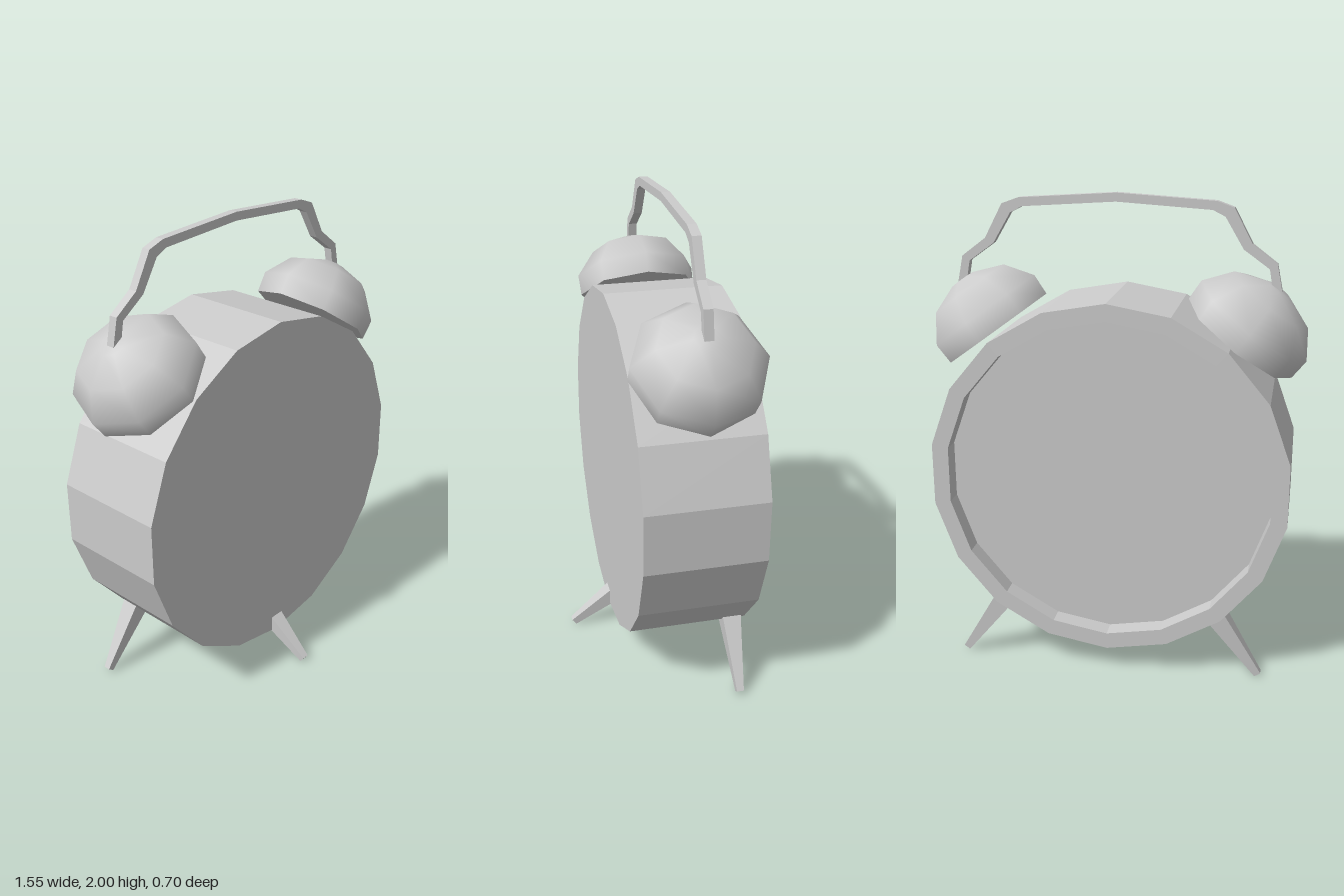
import * as THREE from 'three';

const flat = new THREE.MeshStandardMaterial({ color: 0xcccccc, flatShading: true });
const smooth = new THREE.MeshStandardMaterial({ color: 0xcccccc });
const V2 = ([x, y]) => new THREE.Vector2(x, y);
const BELL_Z = -0.085;

function add(parent, name, geometry, material = flat) {
  const mesh = new THREE.Mesh(geometry, material);
  mesh.name = name;
  parent.add(mesh);
  return mesh;
}

// Square tapered leg from its wide top to its narrow tip
function addLeg(parent, name, top, tip) {
  const dir = new THREE.Vector3().subVectors(tip, top);
  const geometry = new THREE.CylinderGeometry(0.08 * Math.SQRT1_2, 0.03 * Math.SQRT1_2, dir.length(), 4);
  geometry.rotateY(Math.PI / 4);
  const leg = add(parent, name, geometry);
  leg.quaternion.setFromUnitVectors(new THREE.Vector3(0, -1, 0), dir.normalize());
  leg.position.addVectors(top, tip).multiplyScalar(0.5);
}

export function createModel() {
  const clock = new THREE.Group();
  clock.name = 'alarmClock';

  // Drum body with a recessed back panel
  const bodyProfile = [[0, -0.25], [0.68, -0.25], [0.68, -0.33], [0.75, -0.33], [0.75, 0.17], [0, 0.17]].map(V2);
  const body = add(clock, 'body', new THREE.LatheGeometry(bodyProfile, 18).rotateX(Math.PI / 2));
  body.position.y = 0.85;

  // Bells and rear legs, mirrored
  const bellProfile = [[0.263, 0], [0.267, 0.09], [0.186, 0.199], [0.055, 0.25], [0, 0.252]].map(V2);
  for (const side of [1, -1]) {
    const prefix = side > 0 ? 'left' : 'right';
    const bell = new THREE.Group();
    bell.name = prefix + 'Bell';
    add(bell, prefix + 'BellDome', new THREE.LatheGeometry(bellProfile, 8), smooth);
    add(bell, prefix + 'BellBase', new THREE.CircleGeometry(0.263, 8).rotateX(Math.PI / 2));
    bell.position.set(side * 0.508, 1.43, BELL_Z);
    bell.rotation.z = -side * 0.63;
    clock.add(bell);

    addLeg(clock, prefix + 'RearLeg',
      new THREE.Vector3(side * 0.462, 0.277, -0.27), new THREE.Vector3(side * 0.645, 0.012, -0.27));
  }

  // Front leg, starting inside the body
  addLeg(clock, 'frontLeg', new THREE.Vector3(0, 0.195, 0.086), new THREE.Vector3(0, 0.013, 0.338));

  // Carrying handle: a bent flat bar joining the bells
  const outer = [[-0.672, 1.605], [-0.645, 1.735], [-0.545, 1.81], [-0.47, 1.95], [-0.4, 1.975], [0, 2]];
  const inner = [[0, 1.965], [-0.385, 1.94], [-0.435, 1.915], [-0.51, 1.79], [-0.615, 1.715], [-0.635, 1.605]];
  const mirror = (pts) => pts.map(([x, y]) => [-x, y]).reverse();
  const outline = [...outer, ...mirror(outer).slice(1), ...mirror(inner), ...inner.slice(1)];
  const handle = add(clock, 'handle',
    new THREE.ExtrudeGeometry(new THREE.Shape(outline.map(V2)), { depth: 0.037, bevelEnabled: false }));
  handle.position.z = BELL_Z - 0.0185;

  return clock;
}
